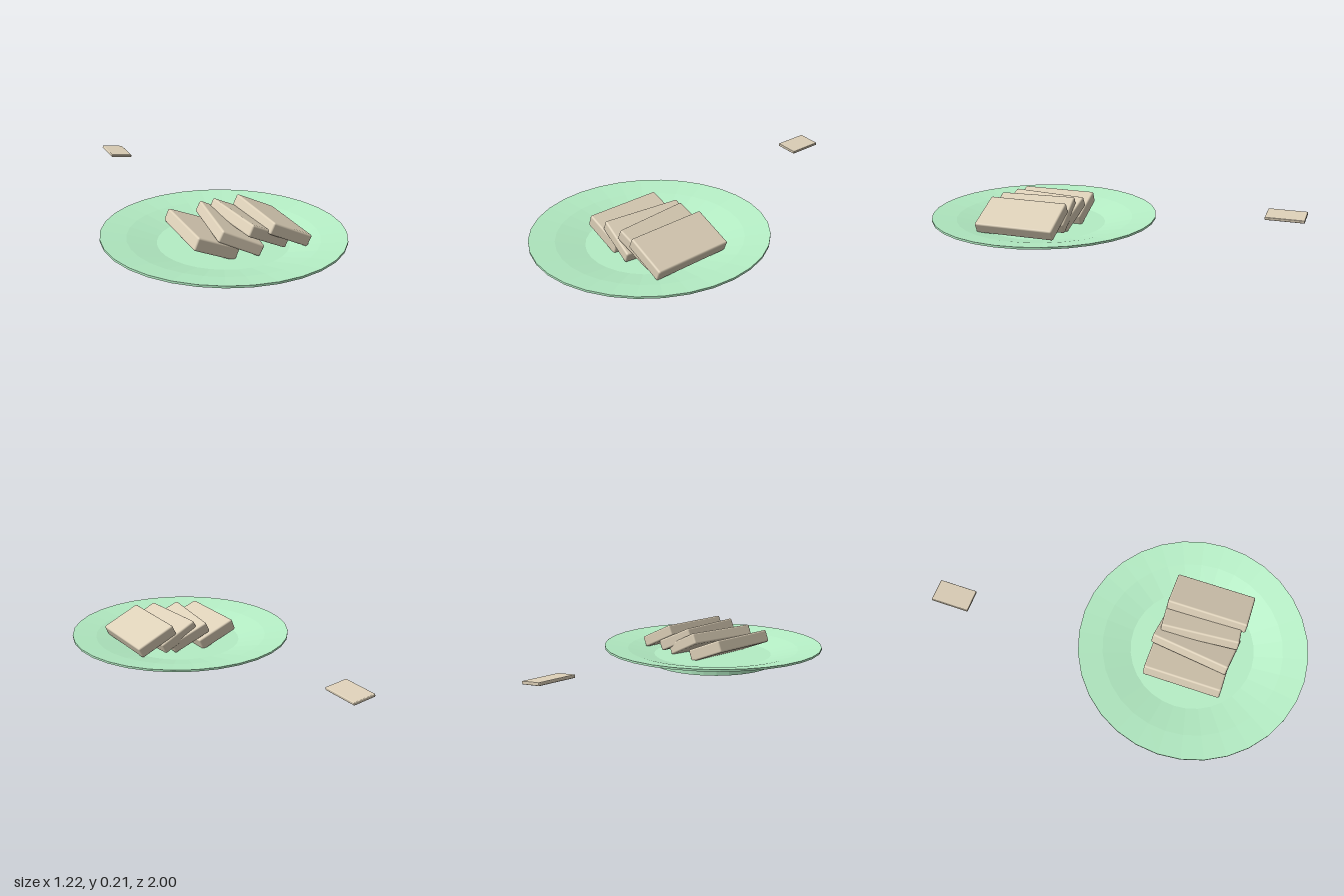
import * as THREE from 'three';
import { RoundedBoxGeometry } from 'three/addons/geometries/RoundedBoxGeometry.js';

const DEG = Math.PI / 180;

export function createModel() {
  const model = new THREE.Group();
  model.name = 'plateWithSlices';

  const glaze = new THREE.MeshStandardMaterial({ color: 0xb5eec5, flatShading: true });
  const cake = new THREE.MeshStandardMaterial({ color: 0xddd0b8 });

  // Plate: recessed underside, foot ring, flared rim and flat well
  const profile = [
    [0, 0.025], [0.285, 0.025], [0.285, 0], [0.345, 0], [0.345, 0.036],
    [0.61, 0.089], [0.61, 0.1], [0.48, 0.08], [0.33, 0.045], [0, 0.045],
  ].map(([r, y]) => new THREE.Vector2(r, y));
  const plate = new THREE.Mesh(new THREE.LatheGeometry(profile, 32), glaze);
  plate.name = 'plate';
  plate.position.set(0, 0, 0.39);
  model.add(plate);

  // A slab is placed by its upper left edge, tilted down to the right, then turned
  function addSlab(name, [w, t, l], [x, y, z], tilt, yaw, radius) {
    const geometry = new RoundedBoxGeometry(w, t, l, 2, radius);
    geometry.translate(w / 2, -t / 2, 0);
    const slab = new THREE.Mesh(geometry, cake);
    slab.name = name;
    slab.position.set(x, y, z);
    slab.rotation.set(0, yaw * DEG, -tilt * DEG, 'YZX');
    model.add(slab);
  }

  // Four slices leaning on one another
  addSlab('slice1', [0.23, 0.068, 0.415], [-0.215, 0.181, 0.393], 22, 0, 0.01);
  addSlab('slice2', [0.23, 0.062, 0.425], [-0.066, 0.196, 0.388], 25, -7, 0.01);
  addSlab('slice3', [0.23, 0.062, 0.415], [0.038, 0.21, 0.41], 25, 4.5, 0.01);
  addSlab('slice4', [0.23, 0.062, 0.435], [0.159, 0.211, 0.413], 25, 0, 0.01);

  // Small loose piece behind the plate
  addSlab('looseSlice', [0.125, 0.016, 0.205], [-0.223, 0.176, -0.8975], 7, 0, 0.004);

  return model;
}
